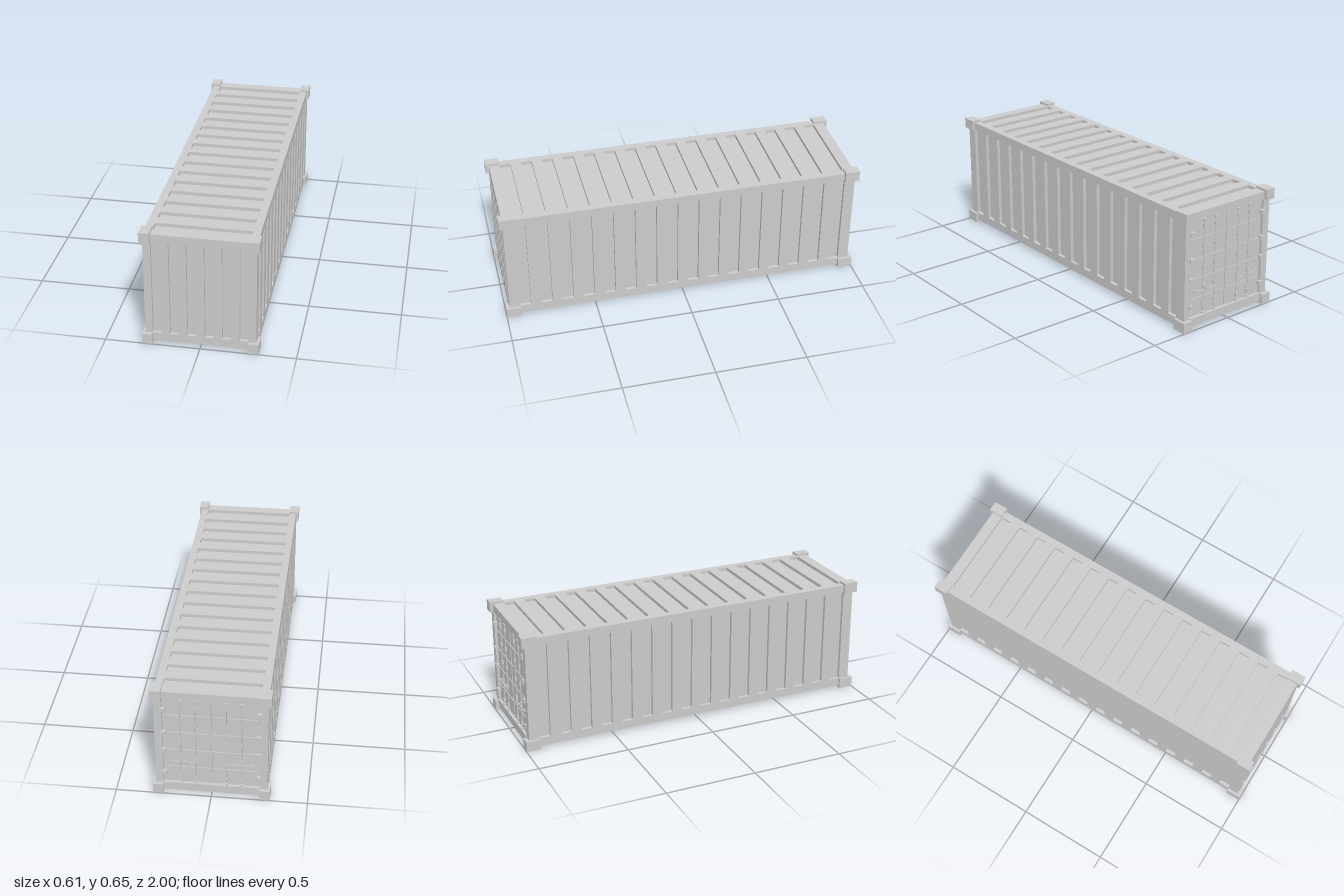
import * as THREE from 'three';

const MAT = new THREE.MeshStandardMaterial({ color: 0xcccccc });
const X = 0.29, Z = 0.98, Y0 = 0.014, Y1 = 0.64; // outer faces of the body
const D = 0.018;                                 // depth of the pressed grooves
const GY0 = 0.06, GY1 = 0.597;                   // groove bottom and top

function add(parent, name, geometry, x = 0, y = 0, z = 0) {
  const mesh = new THREE.Mesh(geometry, MAT);
  mesh.name = name;
  mesh.position.set(x, y, z);
  parent.add(mesh);
  return mesh;
}

const box = (parent, name, w, h, d, x, y, z) =>
  add(parent, name, new THREE.BoxGeometry(w, h, d), x, y, z);

// Rectangle with rounded corners, used as a hole
function roundedRect(x0, y0, x1, y1, r) {
  const p = new THREE.Path();
  p.moveTo(x0 + r, y0);
  p.lineTo(x1 - r, y0);
  p.quadraticCurveTo(x1, y0, x1, y0 + r);
  p.lineTo(x1, y1 - r);
  p.quadraticCurveTo(x1, y1, x1 - r, y1);
  p.lineTo(x0 + r, y1);
  p.quadraticCurveTo(x0, y1, x0, y1 - r);
  p.lineTo(x0, y0 + r);
  p.quadraticCurveTo(x0, y0, x0 + r, y0);
  return p;
}

// Flat sheet with a row of slots; its outer face looks along +z
function slottedSheet(x0, y0, x1, y1, slots, r = 0.006) {
  const shape = new THREE.Shape();
  shape.moveTo(x0, y0);
  shape.lineTo(x1, y0);
  shape.lineTo(x1, y1);
  shape.lineTo(x0, y1);
  shape.closePath();
  slots.forEach((s) => shape.holes.push(roundedRect(...s, r)));
  return new THREE.ExtrudeGeometry(shape, { depth: D, bevelEnabled: false, curveSegments: 4 });
}

// Evenly spaced centres from -end to end
const row = (n, end) => Array.from({ length: n }, (_, i) => -end + (2 * end * i) / (n - 1));

function buildBody(group) {
  // Inner box forms the groove floors and the underside
  box(group, 'innerBox', 2 * (X - D), Y1 - D - Y0, 2 * (Z - D), 0, (Y1 - D + Y0) / 2, 0);

  // Side walls
  const sideSlots = row(16, 0.89).map((c) => [c - 0.031, GY0, c + 0.031, GY1]);
  for (const s of [1, -1]) {
    const wall = add(group, s > 0 ? 'leftWall' : 'rightWall',
      slottedSheet(-Z, Y0, Z, Y1, sideSlots), s * (X - D), 0, 0);
    wall.rotation.y = (s * Math.PI) / 2;
  }

  // Front wall
  const frontSlots = row(6, 0.227).map((c) => [c - 0.0235, GY0, c + 0.0235, GY1]);
  add(group, 'frontWall', slottedSheet(D - X, Y0, X - D, Y1, frontSlots), 0, 0, Z - D);

  // Roof
  const roofSlots = row(16, 0.89).map((c) => [-0.25, c - 0.03, 0.25, c + 0.03]);
  const roof = add(group, 'roof',
    slottedSheet(D - X, D - Z, X - D, Z - D, roofSlots), 0, Y1 - D, 0);
  roof.rotation.x = -Math.PI / 2;

  // Frame around the doors
  const frame = add(group, 'doorFrame',
    slottedSheet(D - X, Y0, X - D, Y1, [[-0.25, GY0, 0.25, GY1]], 0.001), 0, 0, D - Z);
  frame.rotation.y = Math.PI;
}

// One door leaf with ribs, locking rods, handle and hinges; s is its side
function buildDoor(s) {
  const door = new THREE.Group();
  door.name = s > 0 ? 'leftDoor' : 'rightDoor';
  const face = -0.967;
  box(door, 'doorLeaf', 0.24, 0.525, 0.006, s * 0.124, 0.3285, face + 0.003);

  // Horizontal ribs
  for (const y of [0.16, 0.27, 0.38, 0.49]) {
    box(door, 'doorRib', 0.232, 0.007, 0.006, s * 0.124, y, face - 0.002);
  }

  // Locking rods with guides and end cams
  for (const x of [0.08, 0.157]) {
    add(door, 'lockingRod', new THREE.CylinderGeometry(0.0035, 0.0035, 0.515, 8),
      s * x, 0.3285, face - 0.005);
    for (const y of [0.1, 0.22, 0.33, 0.44, 0.55]) {
      box(door, 'rodGuide', 0.011, 0.02, 0.012, s * x, y, face - 0.006);
    }
    for (const y of [0.071, 0.586]) {
      box(door, 'rodCam', 0.016, 0.01, 0.014, s * x, y, face - 0.006);
    }
    // Handle reaching sideways from the rod
    box(door, 'handle', 0.06, 0.006, 0.006, s * (x + 0.028), 0.2, face - 0.011);
    box(door, 'handleCatch', 0.01, 0.014, 0.012, s * (x + 0.054), 0.2, face - 0.006);
  }

  // Hinges bridging the leaf and the frame
  for (const y of [0.125, 0.275, 0.385, 0.53]) {
    box(door, 'hinge', 0.026, 0.02, 0.023, s * 0.246, y, -0.9765);
  }
  return door;
}

export function createModel() {
  const model = new THREE.Group();
  model.name = 'shippingContainer';

  const body = new THREE.Group();
  body.name = 'body';
  buildBody(body);
  model.add(body);

  // Rear doors
  model.add(buildDoor(1), buildDoor(-1));
  box(model, 'doorSeal', 0.006, 0.525, 0.008, 0, 0.3285, -0.967);

  // Corner castings
  for (const x of [-1, 1]) for (const z of [-1, 1]) for (const y of [0.0295, 0.6245]) {
    box(model, 'cornerCasting', 0.055, 0.058, 0.08, x * 0.2775, y, z * 0.96);
  }
  model.children.filter((c) => c.name === 'cornerCasting')
    .forEach((c) => { c.position.y -= 0.0005; });
  return model;
}
